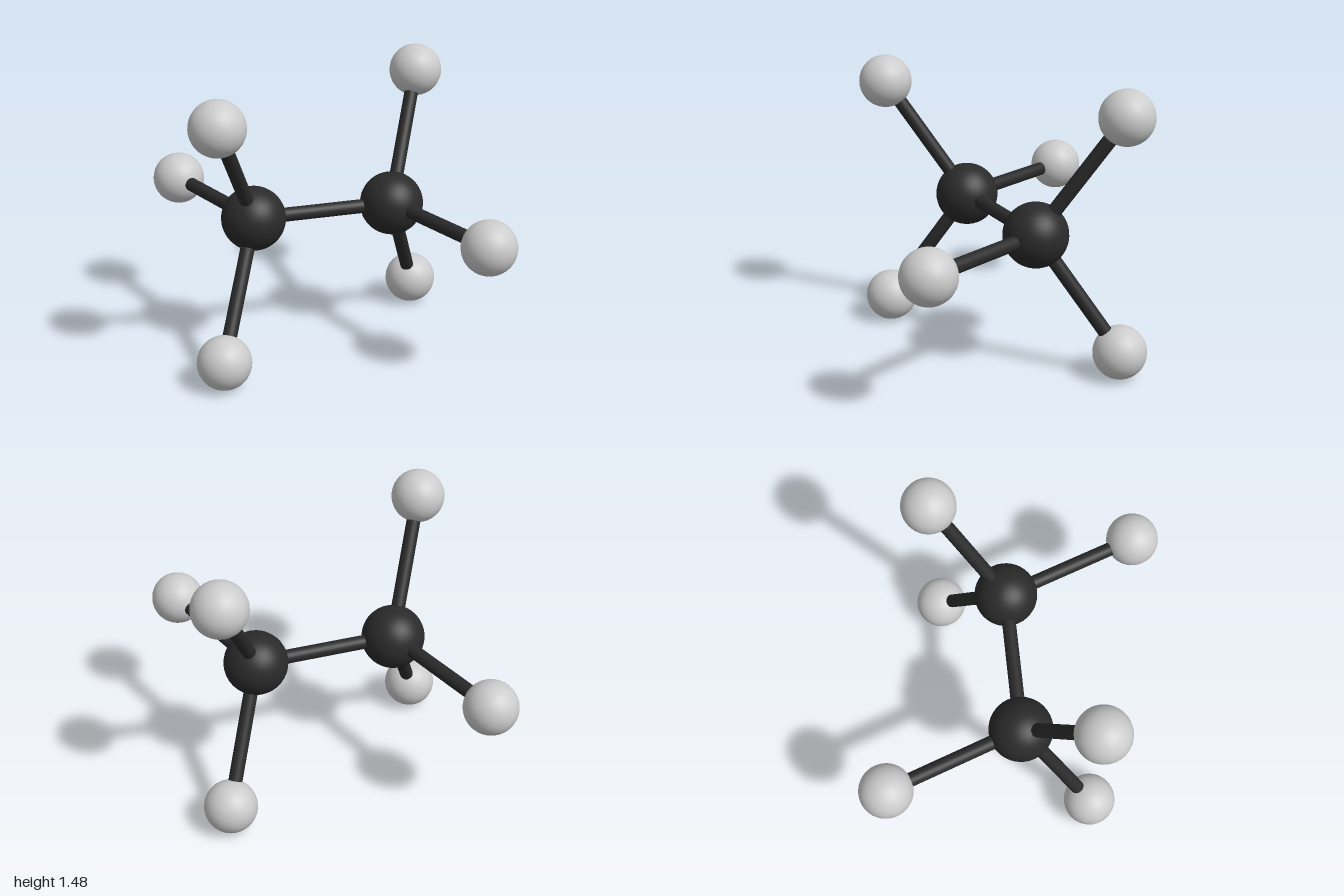
import * as THREE from 'three';

const dark = new THREE.MeshStandardMaterial({ color: 0x2a2a2a });
const pale = new THREE.MeshStandardMaterial({ color: 0xcccccc });
const MID_Y = 0.742;

function ball(name, center, radius, material) {
  const mesh = new THREE.Mesh(new THREE.SphereGeometry(radius, 40, 24), material);
  mesh.name = name;
  mesh.position.copy(center);
  return mesh;
}

// Round stick joining two ball centres
function stick(name, a, b) {
  const dir = b.clone().sub(a);
  const mesh = new THREE.Mesh(new THREE.CylinderGeometry(0.036, 0.036, dir.length(), 24), dark);
  mesh.name = name;
  mesh.position.copy(a).add(b).multiplyScalar(0.5);
  mesh.quaternion.setFromUnitVectors(new THREE.Vector3(0, 1, 0), dir.normalize());
  return mesh;
}

export function createModel() {
  const model = new THREE.Group();
  model.name = 'ballAndStickMolecule';
  const at = (s, x, y, z) => new THREE.Vector3(s * x, MID_Y + y, s * z);

  // Two point-mirrored halves, each a dark atom with three pale ones
  for (const s of [1, -1]) {
    const half = new THREE.Group();
    half.name = s > 0 ? 'frontHalf' : 'backHalf';
    const carbon = at(s, -0.123, 0, 0.348);
    half.add(ball('carbonAtom', carbon, 0.164, dark));
    const ends = { side: at(s, -0.863, 0, 0.348), upper: at(s, 0.123, 0.605, 0.697), lower: at(s, 0.123, -0.605, 0.697) };
    for (const [key, p] of Object.entries(ends)) {
      half.add(ball(key + 'HydrogenAtom', p, 0.137, pale), stick(key + 'Bond', carbon, p));
    }
    model.add(half);
  }

  // Bond between the two dark atoms
  model.add(stick('centralBond', at(1, -0.123, 0, 0.348), at(-1, -0.123, 0, 0.348)));
  return model;
}
